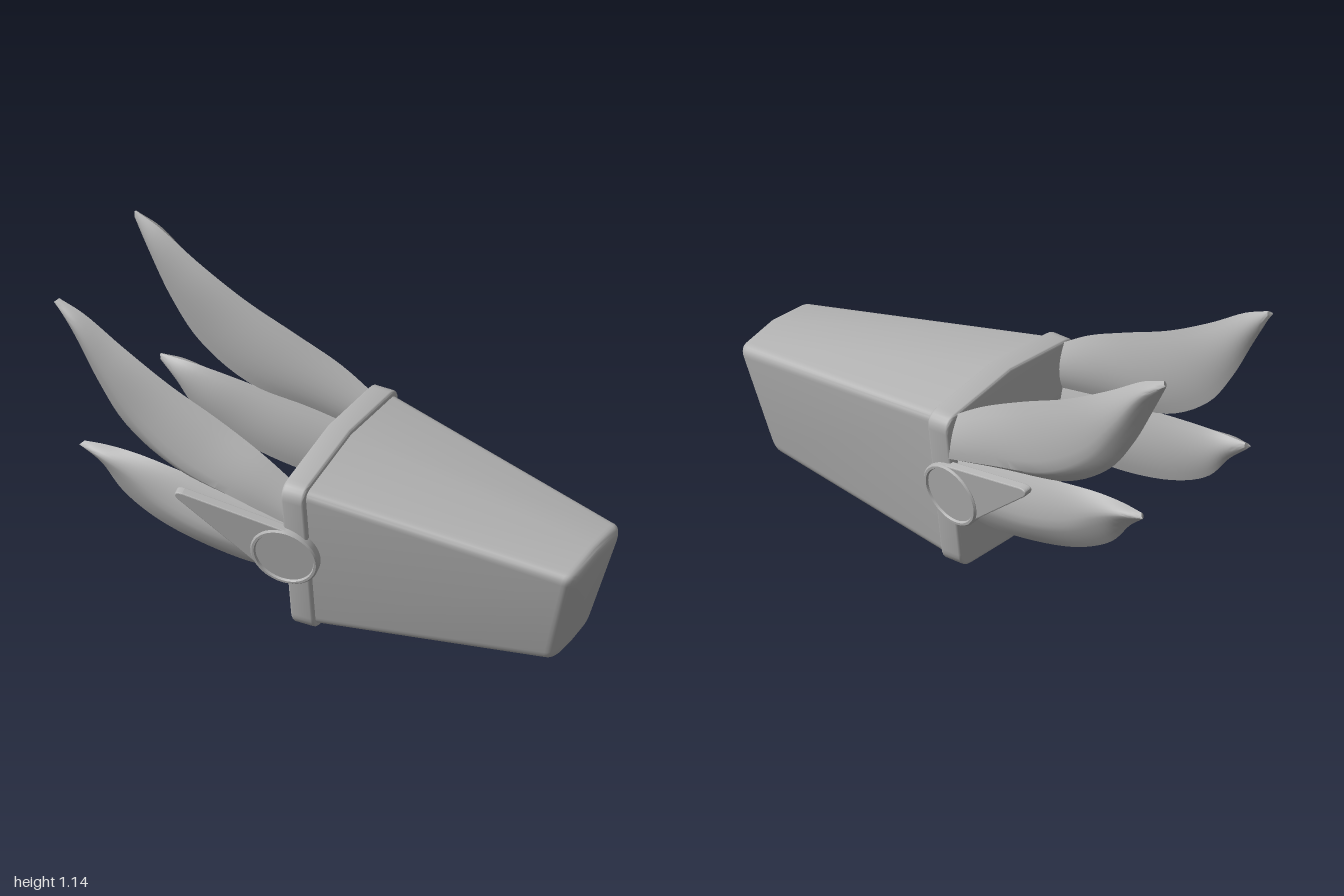
import * as THREE from 'three';
import { toCreasedNormals } from 'three/addons/utils/BufferGeometryUtils.js';

const V = (x, y, z) => new THREE.Vector3(x, y, z);

// Closed skin over a list of equal-length rings, capped at both ends, faces outward
function loft(rings, crease) {
  const n = rings[0].length, pos = [], idx = [];
  rings.forEach(r => r.forEach(p => pos.push(p.x, p.y, p.z)));
  for (let i = 0; i < rings.length - 1; i++) for (let j = 0; j < n; j++) {
    const a = i * n + j, b = i * n + (j + 1) % n;
    idx.push(a, b, a + n, b, b + n, a + n);
  }
  [0, rings.length - 1].forEach((k, end) => {
    const c = rings[k].reduce((s, p) => s.add(p), V(0, 0, 0)).divideScalar(n);
    const ci = pos.length / 3;
    pos.push(c.x, c.y, c.z);
    for (let j = 0; j < n; j++) {
      const a = k * n + j, b = k * n + (j + 1) % n;
      if (end) idx.push(ci, a, b); else idx.push(ci, b, a);
    }
  });
  // make the winding face outward
  let vol = 0;
  const at = i => V(pos[3 * i], pos[3 * i + 1], pos[3 * i + 2]);
  for (let i = 0; i < idx.length; i += 3) vol += at(idx[i]).dot(at(idx[i + 1]).cross(at(idx[i + 2])));
  if (vol < 0) idx.reverse();
  const g = new THREE.BufferGeometry();
  g.setAttribute('position', new THREE.Float32BufferAttribute(pos, 3));
  g.setIndex(idx);
  return toCreasedNormals(g, crease);
}

// Copy of a non-indexed geometry reflected across z = 0
function mirrorZ(geo) {
  const g = geo.index ? geo.toNonIndexed() : geo.clone();
  g.scale(1, 1, -1);
  for (const name of ['position', 'normal']) {
    const a = g.attributes[name].array;
    for (let i = 0; i < a.length; i += 9) for (let k = 0; k < 3; k++) {
      [a[i + 3 + k], a[i + 6 + k]] = [a[i + 6 + k], a[i + 3 + k]];
    }
    if (name === 'normal') for (let i = 2; i < a.length; i += 3) a[i] = -Math.abs(a[i]) * Math.sign(-a[i] || 1);
  }
  return g;
}

// Six-sided outline with peaked top and bottom and rounded side corners, as (z, y)
function outline({ topC, topY, topZ, botY, botZ, botC, r }) {
  const corners = [[0, topC], [topZ, topY], [botZ, botY], [0, botC], [-botZ, botY], [-topZ, topY]]
    .map(c => new THREE.Vector2(...c));
  const pts = [];
  corners.forEach((c, i) => {
    if (i % 3 === 0) { pts.push(c); return; }
    const toward = o => c.clone().add(o.clone().sub(c).setLength(r));
    const curve = new THREE.QuadraticBezierCurve(toward(corners[i - 1]), c, toward(corners[(i + 1) % 6]));
    pts.push(...curve.getPoints(6));
  });
  return pts;
}

// Muzzle: tapered box with a slanted, rounded nose
function muzzleGeometry() {
  const base = outline({ topC: 0.685, topY: 0.645, topZ: 0.35, botY: 0.03, botZ: 0.27, botC: 0.018, r: 0.035 });
  const tip = outline({ topC: 0.515, topY: 0.495, topZ: 0.202, botY: 0.065, botZ: 0.135, botC: 0.052, r: 0.04 });
  const rings = [base.map(p => V(0, p.y, p.x))];
  const R = 0.045;
  for (let i = 0; i <= 6; i++) {
    const a = i / 6 * Math.PI / 2, inset = R * (1 - Math.cos(a));
    rings.push(tip.map(p => {
      const y = 0.28 + (p.y - 0.28) * (1 - inset / 0.23);
      return V(0.885 + (y - 0.06) * 0.265 - R * (1 - Math.sin(a)), y, p.x * (1 - inset / 0.17));
    }));
  }
  return loft(rings, 0.6);
}

// Collar around the wide end of the muzzle
function collarGeometry() {
  const pts = outline({ topC: 0.69, topY: 0.65, topZ: 0.363, botY: 0.022, botZ: 0.275, botC: 0.01, r: 0.05 });
  const g = new THREE.ExtrudeGeometry(new THREE.Shape(pts), {
    depth: 0.07, bevelEnabled: true, bevelThickness: 0.01, bevelSize: 0.01, bevelSegments: 3,
  });
  return toCreasedNormals(g.rotateY(Math.PI / 2).translate(-0.065, 0, 0), 0.6);
}

// Leaf-like fin: each station is [topX, topY, ridgeX, ridgeY, bottomX, bottomY, innerZ, outerZ]
function finGeometry(stations) {
  const track = f => new THREE.CatmullRomCurve3(stations.map(f));
  const top = track(s => V(s[0], s[1], s[6] + (s[7] - s[6]) * 0.4));
  const ridge = track(s => V(s[2], s[3], s[7]));
  const bottom = track(s => V(s[4], s[5], s[6] + (s[7] - s[6]) * 0.3));
  const rings = [], N = 30;
  for (let i = 0; i <= N; i++) {
    const t = i / N, T = top.getPoint(t), R = ridge.getPoint(t), B = bottom.getPoint(t);
    const w = R.z - T.z;
    const arc = (a, b, bulge, n) => Array.from({ length: n }, (_, k) => {
      const u = k / n, p = a.clone().lerp(b, u);
      p.z += bulge * 4 * u * (1 - u);
      return p;
    });
    rings.push([...arc(T, R, w * 0.35, 6), ...arc(R, B, w * 0.12, 4), ...arc(B, T, -w * 0.55, 8)]);
  }
  return loft(rings, 0.65);
}

const UPPER_FIN = [
  [-0.985, 1.135, -1.0, 1.122, -0.993, 1.11, 0.29, 0.31],
  [-0.89, 1.095, -0.91, 1.05, -0.93, 0.99, 0.265, 0.335],
  [-0.74, 1.0, -0.79, 0.88, -0.84, 0.82, 0.26, 0.335],
  [-0.55, 0.895, -0.66, 0.71, -0.73, 0.67, 0.265, 0.33],
  [-0.35, 0.81, -0.48, 0.59, -0.54, 0.55, 0.265, 0.34],
  [-0.18, 0.73, -0.25, 0.54, -0.28, 0.51, 0.27, 0.355],
  [-0.04, 0.64, -0.04, 0.49, -0.04, 0.47, 0.275, 0.35],
];
const LOWER_FIN = [
  [-0.885, 0.555, -0.9, 0.54, -0.89, 0.53, 0.29, 0.31],
  [-0.8, 0.56, -0.81, 0.525, -0.825, 0.475, 0.265, 0.33],
  [-0.68, 0.558, -0.7, 0.475, -0.74, 0.375, 0.26, 0.33],
  [-0.5, 0.54, -0.58, 0.4, -0.6, 0.3, 0.265, 0.33],
  [-0.33, 0.52, -0.42, 0.35, -0.4, 0.252, 0.265, 0.335],
  [-0.18, 0.5, -0.22, 0.335, -0.2, 0.24, 0.27, 0.335],
  [-0.04, 0.48, -0.04, 0.33, -0.04, 0.27, 0.275, 0.33],
];

// Side medallion: ring, recessed disc and pointed blade, tilted to follow the cheek
function medallionParts() {
  const place = g => {
    const q = new THREE.Quaternion().setFromUnitVectors(V(0, 0, 1), V(0.12, -0.17, 1).normalize());
    g = g.index ? g.toNonIndexed() : g;
    return g.applyQuaternion(q).translate(-0.07, 0.345, 0.352);
  };
  const ring = new THREE.LatheGeometry([[0.106, -0.04], [0.12, -0.04], [0.127, -0.034], [0.127, -0.006],
    [0.121, 0], [0.112, 0], [0.106, -0.012], [0.106, -0.04]].map(p => new THREE.Vector2(...p)), 48)
    .rotateX(Math.PI / 2);
  const disc = new THREE.CylinderGeometry(0.108, 0.108, 0.035, 48).rotateX(Math.PI / 2).translate(0, 0, -0.0255);
  const shape = new THREE.Shape();
  shape.moveTo(0.03, 0.118);
  shape.lineTo(-0.37, 0.204);
  shape.quadraticCurveTo(-0.41, 0.206, -0.385, 0.178);
  shape.lineTo(-0.112, -0.055);
  shape.lineTo(0.02, -0.04);
  const blade = new THREE.ExtrudeGeometry(shape, {
    depth: 0.026, bevelEnabled: true, bevelThickness: 0.004, bevelSize: 0.004, bevelSegments: 2,
  }).translate(0, 0, -0.038);
  return { medallionRing: place(toCreasedNormals(ring, 0.6)), medallionDisc: place(disc), medallionBlade: place(blade) };
}

export function createModel() {
  const model = new THREE.Group();
  const grey = new THREE.MeshStandardMaterial({ color: 0xb4b4b4 });
  grey.name = 'plain grey';
  const add = (name, geo) => {
    const m = new THREE.Mesh(geo, grey);
    m.name = name;
    model.add(m);
  };
  add('muzzle', muzzleGeometry());
  add('collar', collarGeometry());

  // parts repeated on both cheeks
  const sides = { upperFin: finGeometry(UPPER_FIN), lowerFin: finGeometry(LOWER_FIN), ...medallionParts() };
  for (const [name, geo] of Object.entries(sides)) {
    add(name + 'Front', geo);
    add(name + 'Back', mirrorZ(geo));
  }
  return model;
}
